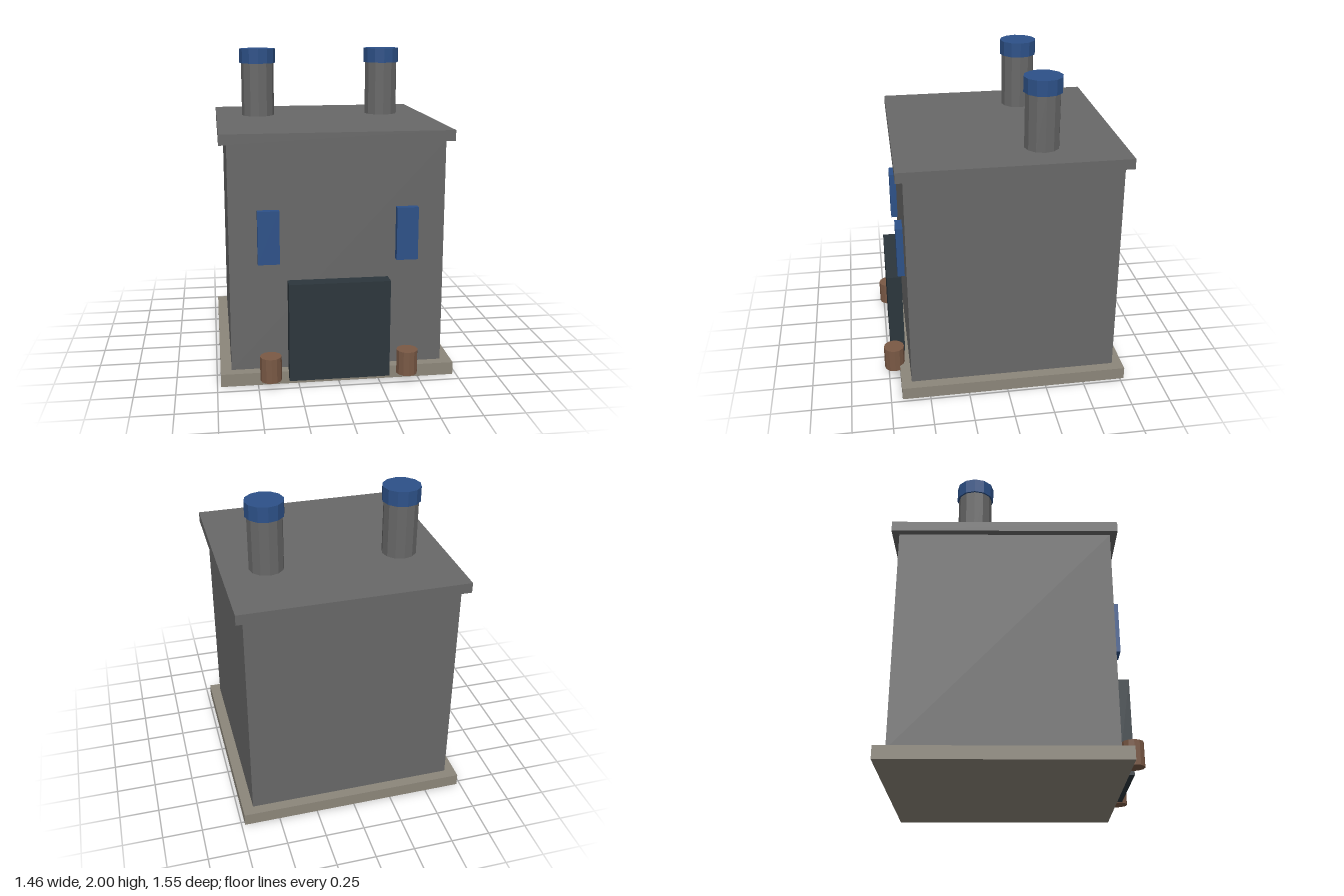
import * as THREE from 'three';

const material = (name, color) => {
  const m = new THREE.MeshStandardMaterial({ color });
  m.name = name;
  return m;
};

export function createModel() {
  const stone = material('grey stone', 0x686868);
  const slab = material('pale slab', 0x8c867a);
  const blue = material('blue', 0x2d5188);
  const dark = material('dark door', 0x2c363c);
  const wood = material('brown wood', 0x7a5945);

  const model = new THREE.Group();
  model.name = 'building';

  // Box given by its centre in x, its bottom and top in y, its back and front in z
  const box = (name, mat, x, width, y0, y1, z0, z1) => {
    const mesh = new THREE.Mesh(new THREE.BoxGeometry(width, y1 - y0, z1 - z0), mat);
    mesh.position.set(x, (y0 + y1) / 2, (z0 + z1) / 2);
    mesh.name = name;
    model.add(mesh);
  };

  // Upright twelve-sided faceted cylinder
  const cylinder = (name, mat, radius, x, y0, y1, z) => {
    const geometry = new THREE.CylinderGeometry(radius, radius, y1 - y0, 12).toNonIndexed();
    geometry.computeVertexNormals();
    const mesh = new THREE.Mesh(geometry, mat);
    mesh.position.set(x, (y0 + y1) / 2, z);
    mesh.name = name;
    model.add(mesh);
  };

  // Main block
  box('base', slab, 0, 1.456, 0, 0.08, -0.776, 0.678);
  box('walls', stone, 0, 1.32, 0.08, 1.49, -0.71, 0.613);
  box('roof', stone, 0, 1.412, 1.49, 1.555, -0.754, 0.657);
  box('door', dark, 0, 0.62, 0.037, 0.653, 0.634, 0.729);

  // Paired parts on both sides
  for (const [side, s] of [['left', 1], ['right', -1]]) {
    const x = s * 0.423;
    box(`${side} window`, blue, x, 0.132, 0.763, 1.091, 0.618, 0.662);
    cylinder(`${side} barrel`, wood, 0.066, x, 0.047, 0.2, 0.71);
    cylinder(`${side} chimney`, stone, 0.109, x, 1.555, 1.905, -0.248);
    cylinder(`${side} chimney cap`, blue, 0.12, x, 1.905, 2, -0.248);
  }

  return model;
}
